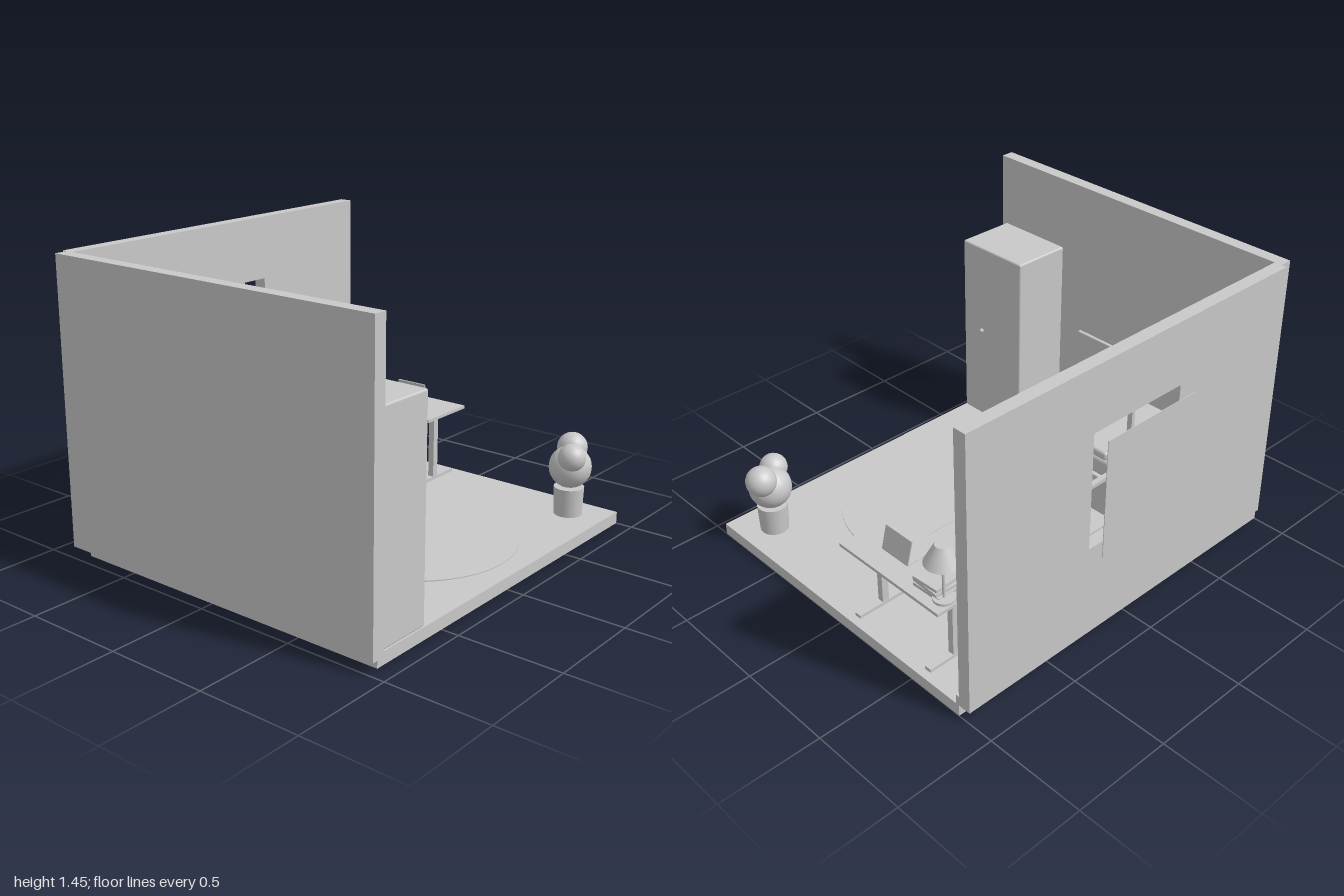
import * as THREE from 'three';
import { RoundedBoxGeometry } from 'three/addons/geometries/RoundedBoxGeometry.js';

export function createModel() {
  const model = new THREE.Group();
  model.name = 'bedroom';
  const clay = new THREE.MeshStandardMaterial({ color: 0xc8c8c8 });
  clay.name = 'clay grey';

  const add = (name, geometry, x = 0, y = 0, z = 0, parent = model) => {
    const mesh = new THREE.Mesh(geometry, clay);
    mesh.name = name;
    mesh.position.set(x, y, z);
    parent.add(mesh);
    return mesh;
  };
  const group = (name) => {
    const g = new THREE.Group();
    g.name = name;
    model.add(g);
    return g;
  };
  // Box from its extents, with optional rounded edges
  const box = (name, [x0, x1], [y0, y1], [z0, z1], parent = model, r = 0) => {
    const size = [x1 - x0, y1 - y0, z1 - z0];
    const geometry = r ? new RoundedBoxGeometry(...size, 3, r) : new THREE.BoxGeometry(...size);
    return add(name, geometry, (x0 + x1) / 2, (y0 + y1) / 2, (z0 + z1) / 2, parent);
  };
  // Upright cylinder or cone between two heights
  const post = (name, x, z, y0, y1, rBottom, rTop = rBottom, parent = model, sides = 24) =>
    add(name, new THREE.CylinderGeometry(rTop, rBottom, y1 - y0, sides), x, (y0 + y1) / 2, z, parent);

  // Room shell
  const room = group('room');
  box('floor', [-0.935, 1], [0, 0.06], [-0.805, 0.915], room);
  box('leftWall', [-1, -0.935], [0.06, 1.452], [-0.842, 0.945], room);
  box('leftSkirting', [-0.935, -0.918], [0.06, 0.11], [-0.805, 0.915], room);
  box('backSkirting', [-0.935, 1], [0.06, 0.11], [-0.805, -0.787], room);

  // Back wall with window opening
  const wall = new THREE.Shape();
  wall.moveTo(-0.935, 0.06).lineTo(1, 0.06).lineTo(1, 1.452).lineTo(-0.935, 1.452).closePath();
  const opening = new THREE.Path();
  opening.moveTo(-0.24, 0.54).lineTo(-0.24, 1.133).lineTo(0.3, 1.133).lineTo(0.3, 0.54).closePath();
  wall.holes.push(opening);
  add('backWall', new THREE.ExtrudeGeometry(wall, { depth: 0.065, bevelEnabled: false }), 0, 0, -0.87, room);

  // Window bars, sill and outside panel
  const win = group('window');
  box('verticalBar', [0.021, 0.039], [0.54, 1.133], [-0.845, -0.82], win);
  box('horizontalBar', [-0.24, 0.3], [0.829, 0.847], [-0.845, -0.82], win);
  box('sill', [-0.268, 0.326], [0.533, 0.55], [-0.808, -0.755], win);
  box('outsidePanel', [-0.24, 0.3], [0.54, 1.133], [-0.948, -0.945], win);

  // Wardrobe
  const wardrobe = group('wardrobe');
  box('cabinet', [-0.935, -0.617], [0.06, 1.08], [0.488, 0.912], wardrobe, 0.01);
  add('knob', new THREE.SphereGeometry(0.012, 16, 12), -0.606, 0.596, 0.767, wardrobe);

  // Bed
  const bed = group('bed');
  box('headboard', [-0.935, -0.914], [0.06, 0.645], [-0.722, 0.35], bed, 0.006);
  box('bedBase', [-0.93, -0.405], [0.06, 0.272], [-0.722, 0.348], bed, 0.006);
  box('mattress', [-0.918, -0.412], [0.273, 0.378], [-0.715, 0.34], bed, 0.025);
  box('blanket', [-0.918, -0.408], [0.378, 0.426], [-0.325, 0.332], bed, 0.016);
  box('largePillow', [-0.885, -0.613], [0.372, 0.436], [-0.677, -0.463], bed, 0.028);
  box('smallPillow', [-0.632, -0.472], [0.372, 0.43], [-0.66, -0.502], bed, 0.026);

  // Rug
  post('rug', 0.1, 0.31, 0.058, 0.065, 0.51, 0.51, model, 64);

  // Chair
  const chair = group('chair');
  post('chairFoot', 0.46, -0.215, 0.06, 0.075, 0.118, 0.118, chair, 32);
  post('chairStem', 0.46, -0.215, 0.075, 0.29, 0.015, 0.015, chair);
  box('seat', [0.345, 0.578], [0.288, 0.319], [-0.335, -0.098], chair, 0.008);
  box('backrest', [0.345, 0.366], [0.3, 0.568], [-0.335, -0.098], chair, 0.008);

  // Desk on two T-shaped legs
  const desk = group('desk');
  box('deskTop', [0.645, 0.97], [0.427, 0.443], [-0.65, 0.003], desk);
  for (const z of [-0.08, -0.56]) {
    box('deskLeg', [0.788, 0.824], [0.07, 0.427], [z - 0.016, z + 0.016], desk);
    box('deskFoot', [0.655, 0.958], [0.06, 0.077], [z - 0.018, z + 0.018], desk);
  }
  box('crossBar', [0.788, 0.824], [0.403, 0.427], [-0.56, -0.08], desk);

  // Laptop with tilted screen
  const laptop = group('laptop');
  box('keyboardBase', [0.725, 0.858], [0.442, 0.447], [-0.33, -0.157], laptop);
  const screen = box('screen', [0.838, 0.844], [0.445, 0.562], [-0.33, -0.157], laptop);
  screen.rotation.z = 0.25;

  // Mug
  post('mug', 0.725, -0.375, 0.443, 0.496, 0.02);

  // Stack of slightly turned books
  const books = group('books');
  [0.03, -0.04, 0.06].forEach((turn, i) => {
    const y = 0.443 + i * 0.018;
    const book = box('book', [0.795, 0.918], [y, y + 0.016], [-0.595 + i * 0.008, -0.435], books);
    book.rotation.y = turn;
  });

  // Table lamp
  const lamp = group('lamp');
  post('lampBase', 0.885, -0.595, 0.443, 0.455, 0.05, 0.05, lamp);
  post('lampStem', 0.885, -0.595, 0.45, 0.66, 0.007, 0.007, lamp, 12);
  post('lampShade', 0.885, -0.595, 0.642, 0.735, 0.085, 0.035, lamp, 32);

  // Potted plant
  const plant = group('plant');
  post('pot', 0.835, 0.73, 0.06, 0.203, 0.07, 0.075, plant, 32);
  for (const [x, y, z, r] of [
    [0.837, 0.305, 0.73, 0.106],
    [0.782, 0.374, 0.768, 0.069],
    [0.902, 0.382, 0.7, 0.076],
  ]) add('foliage', new THREE.SphereGeometry(r, 20, 14), x, y, z, plant);

  return model;
}
